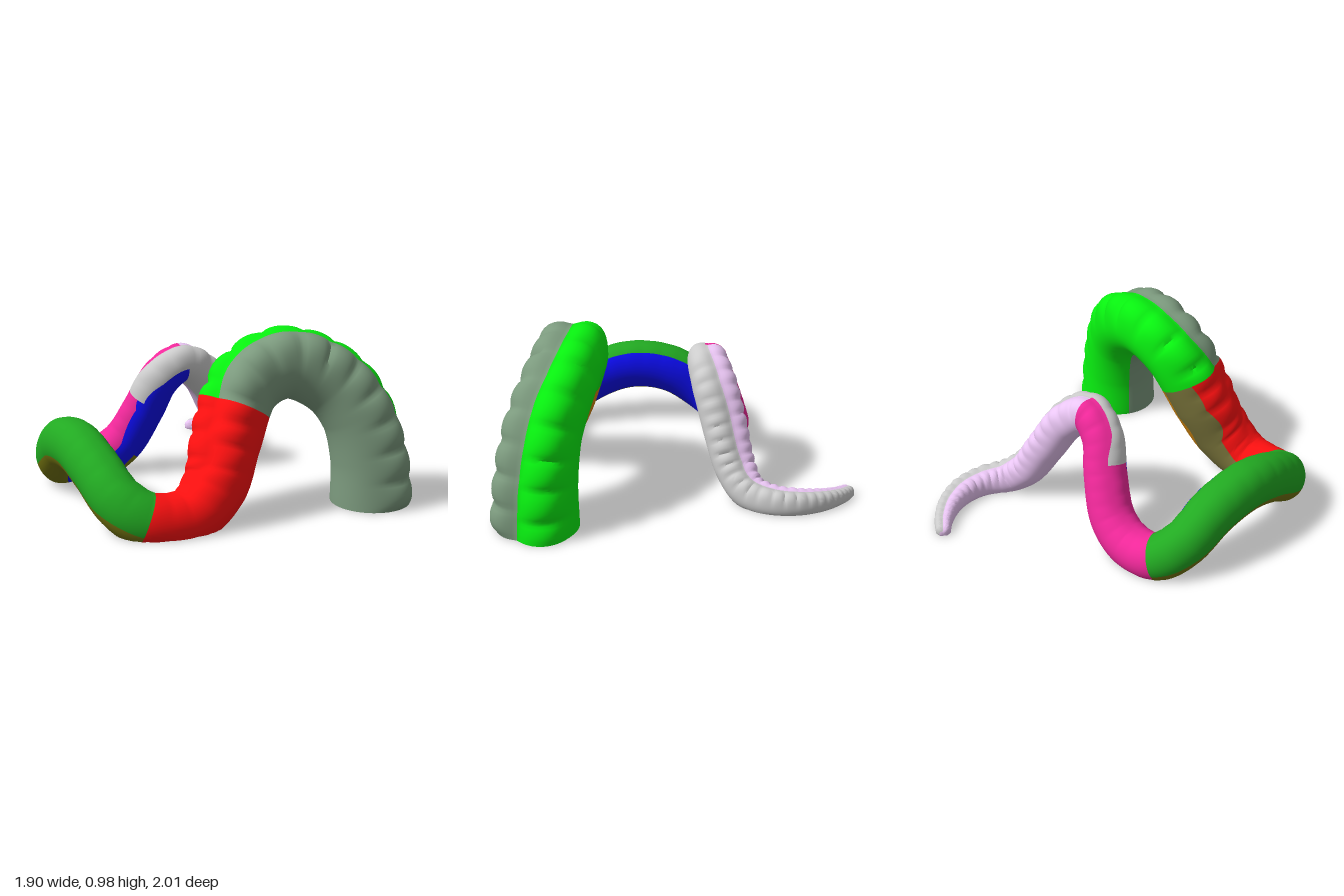
import * as THREE from 'three';
import { toCreasedNormals } from 'three/addons/utils/BufferGeometryUtils.js';

// Centre line from thick base to tip: x, y, z, radius, sideways stretch
const PATH = [
  [0.69, 0, 0.76, 0.226, 1.02], [0.677, 0.25, 0.75, 0.213, 1.02], [0.615, 0.5, 0.71, 0.2, 1.02],
  [0.49, 0.68, 0.64, 0.196, 1], [0.25, 0.785, 0.565, 0.192, 1], [0.02, 0.695, 0.555, 0.188, 1],
  [-0.14, 0.42, 0.62, 0.186, 1], [-0.245, 0.2, 0.69, 0.173, 1], [-0.41, 0.07, 0.73, 0.152, 1],
  [-0.64, 0.075, 0.715, 0.147, 0.97], [-0.765, 0.16, 0.63, 0.144, 0.9], [-0.81, 0.285, 0.42, 0.146, 0.9],
  [-0.82, 0.345, 0.2, 0.148, 0.89], [-0.81, 0.31, -0.04, 0.146, 0.9], [-0.775, 0.175, -0.25, 0.138, 0.9],
  [-0.675, 0.09, -0.355, 0.133, 0.96], [-0.49, 0.08, -0.37, 0.13, 1], [-0.335, 0.17, -0.35, 0.127, 1],
  [-0.22, 0.38, -0.29, 0.122, 1], [-0.14, 0.565, -0.23, 0.117, 1], [-0.01, 0.65, -0.205, 0.11, 1.03],
  [0.13, 0.555, -0.235, 0.113, 1.12], [0.257, 0.35, -0.285, 0.111, 1.12], [0.37, 0.16, -0.335, 0.105, 1.08],
  [0.48, 0.065, -0.4, 0.095, 1], [0.565, 0.042, -0.52, 0.088, 1], [0.587, 0.037, -0.66, 0.08, 1],
  [0.55, 0.03, -0.8, 0.067, 1], [0.475, 0.02, -0.91, 0.052, 1], [0.39, 0.012, -0.985, 0.04, 1],
];
const RINGS = 440, SIDES = 48, LAST = PATH.length - 1;

const COLORS = {
  archLeftRow: 0x7c9a7e, archRightRow: 0x08f010, frontBendTop: 0xff1010,
  frontBendUnder: 0xd88a10, frontBendBack: 0x7c763c, sideLoopOuter: 0x22aa22,
  sideLoopInner: 0x0c0cf0, sideLoopUnder: 0x757510, rearBendOuter: 0xf0289a,
  rearBendInner: 0x0c0cf0, tailLeftRow: 0xeac6f4, tailRightRow: 0xbebebe,
  baseCap: 0x9a7060,
};

// Colour zone for a place along the path (k) and an angle from the outer side (deg)
function zone(k, deg) {
  if (k < 5.5) return deg < 0 ? 'archLeftRow' : 'archRightRow';
  if (k < 9.1) {
    if (deg > -140 && deg < 65) return 'frontBendTop';
    return deg >= 65 && deg < 135 ? 'frontBendBack' : 'frontBendUnder';
  }
  if (k < 15) {
    if (deg > -110 && deg < 45) return 'sideLoopOuter';
    return deg >= 45 && deg < 150 ? 'sideLoopInner' : 'sideLoopUnder';
  }
  if (k < 20) {
    if (k < 17 && Math.abs(deg) > 125) return 'sideLoopUnder';
    if (k > 18.3 && deg > 10 && deg < 95) return 'tailRightRow';
    return deg > -160 && deg < 75 ? 'rearBendOuter' : 'rearBendInner';
  }
  return deg < 0 ? 'tailLeftRow' : 'tailRightRow';
}

// Strength of the two sucker rows along the path
function suckerStrength(k) {
  const s = THREE.MathUtils.smoothstep;
  return Math.max(0.15, 1 - 0.85 * s(k, 5, 8), s(k, 18, 21));
}

export function createModel() {
  const curve = new THREE.CatmullRomCurve3(PATH.map(([x, y, z]) => new THREE.Vector3(x, y, z)));
  const pos = [], index = [], names = [];
  let phase = 0;
  let previous = curve.getPoint(0);

  // Rings of the swept body
  for (let i = 0; i <= RINGS; i++) {
    const u = i / RINGS, k = u * LAST, k0 = Math.min(Math.floor(k), LAST - 1);
    const centre = curve.getPoint(u), tangent = curve.getTangent(u);
    const [radius, stretch] = [3, 4].map((c) => THREE.MathUtils.lerp(PATH[k0][c], PATH[k0 + 1][c], k - k0));
    phase += centre.distanceTo(previous) / (0.7 * radius);
    previous = centre;
    const w = 1 - THREE.MathUtils.smoothstep(k, 0.3, 4);
    const outer = new THREE.Vector3(0.87 * w, 1 - w, 0.48 * w);
    outer.addScaledVector(tangent, -outer.dot(tangent)).normalize();
    const right = new THREE.Vector3().crossVectors(tangent, outer);
    const tip = Math.sqrt(Math.min(1, (1 - u) / 0.01 + 0.3));
    const strength = suckerStrength(k);
    for (let j = 0; j < SIDES; j++) {
      const a = -Math.PI + (j / SIDES) * Math.PI * 2;
      // Scalloped lobes either side of a groove on the outer line
      const lobe = Math.exp(-(((Math.abs(a) - 0.72) / 0.48) ** 2));
      const scallop = Math.abs(Math.sin(Math.PI * (phase + (a > 0 ? 0.3 : 0))));
      const r = radius * tip * (1 + strength * lobe * (0.17 * Math.sqrt(scallop) - 0.02)
        - 0.09 * strength * Math.exp(-((a / 0.25) ** 2)));
      const p = centre.clone().addScaledVector(outer, r * Math.cos(a))
        .addScaledVector(right, r * stretch * Math.sin(a));
      // Flattened where it rests on the floor
      pos.push(p.x, i === 0 ? 0 : Math.max(0, p.y), p.z);
    }
  }

  // Skin faces, each given to a colour zone
  for (let i = 0; i < RINGS; i++) {
    for (let j = 0; j < SIDES; j++) {
      const n = (j + 1) % SIDES, A = i * SIDES, B = A + SIDES;
      index.push(A + j, A + n, B + n, A + j, B + n, B + j);
      const name = zone(((i + 0.5) / RINGS) * LAST, -180 + ((j + 0.5) / SIDES) * 360);
      names.push(name, name);
    }
  }

  // Base and tip caps
  const baseCentre = pos.length / 3, end = RINGS * SIDES;
  pos.push(PATH[0][0], 0, PATH[0][2], ...curve.getPoint(1).toArray());
  for (let j = 0; j < SIDES; j++) {
    const n = (j + 1) % SIDES;
    index.push(baseCentre, n, j, baseCentre + 1, end + j, end + n);
    names.push('baseCap', 'tailLeftRow');
  }

  let skin = new THREE.BufferGeometry();
  skin.setAttribute('position', new THREE.Float32BufferAttribute(pos, 3));
  skin.setIndex(index);
  skin = toCreasedNormals(skin, 1);

  // One mesh per zone, sharing the smooth normals
  const group = new THREE.Group();
  group.name = 'tentacle';
  for (const [name, color] of Object.entries(COLORS)) {
    const faces = [];
    names.forEach((f, t) => { if (f === name) faces.push(3 * t, 3 * t + 1, 3 * t + 2); });
    const part = new THREE.BufferGeometry();
    part.setAttribute('position', skin.getAttribute('position'));
    part.setAttribute('normal', skin.getAttribute('normal'));
    part.setIndex(faces);
    const mesh = new THREE.Mesh(part, new THREE.MeshStandardMaterial({ color }));
    mesh.name = name;
    group.add(mesh);
  }
  return group;
}
